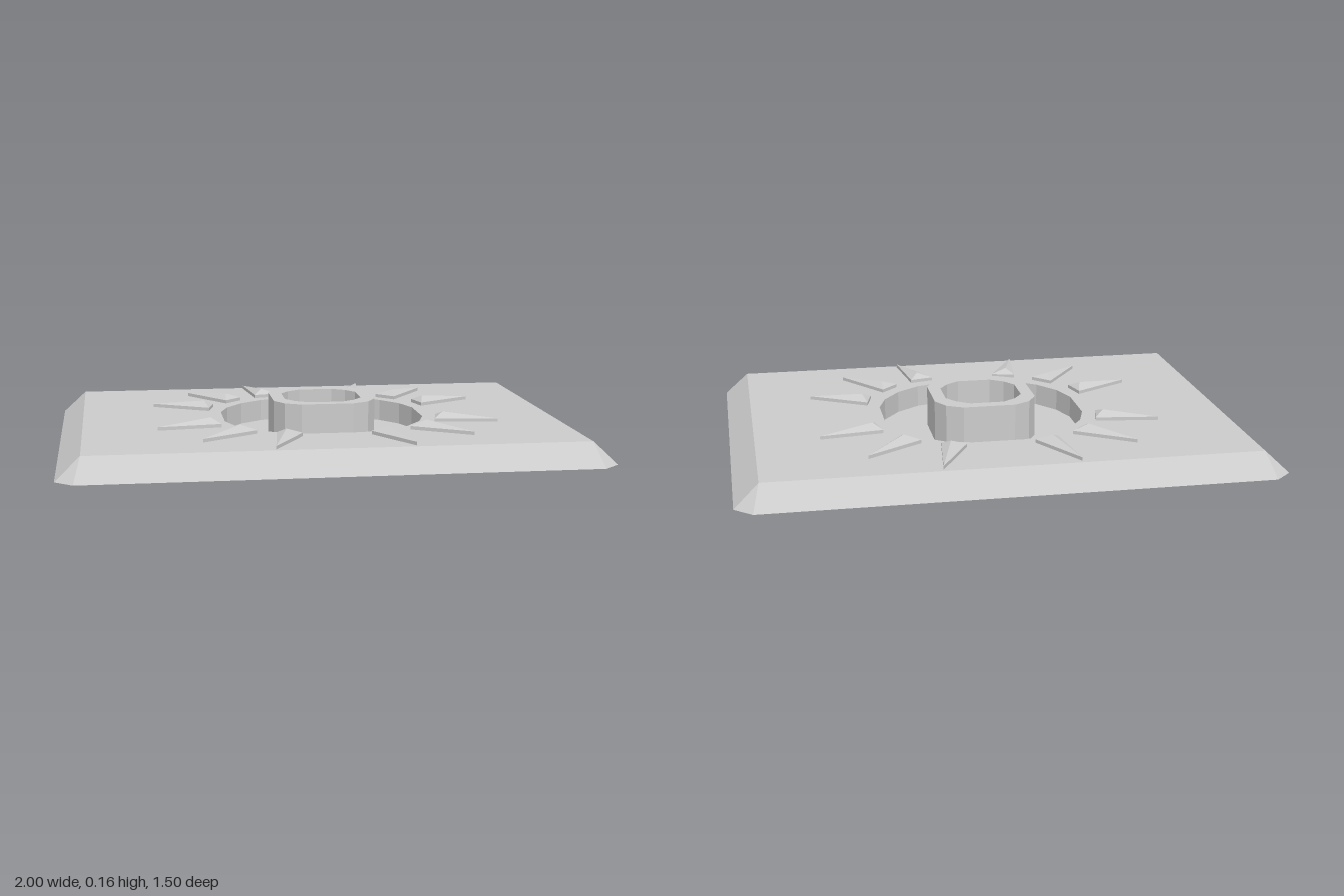
import * as THREE from 'three';

const material = new THREE.MeshStandardMaterial({ color: 0xcccccc, flatShading: true, side: THREE.DoubleSide });
const TOP = 0.085;   // plate surface height
const CX = 0.0185;   // the motif sits slightly off centre

const V = ([x, s]) => new THREE.Vector2(x, s);

// Mirror first-quadrant points (from +x round to +s) into a full anticlockwise loop; z = -s
function mirrorLoop(points, cx = 0) {
  const back = [...points].reverse();
  return [
    ...points,
    ...back.map(([x, s]) => [-x, s]),
    ...points.map(([x, s]) => [-x, -s]),
    ...back.map(([x, s]) => [x, -s]),
  ].map(([x, s]) => V([x + cx, s]));
}

// Strips joining successive [loop, height] rings; rising rings face outward, falling ones inward
function loft(name, rings) {
  const pos = [];
  const tri = (...p) => {
    if (p[0].equals(p[1]) || p[1].equals(p[2]) || p[2].equals(p[0])) return;
    p.forEach((v) => pos.push(v.x, v.y, v.z));
  };
  for (let r = 0; r < rings.length - 1; r++) {
    const [a, b] = [rings[r], rings[r + 1]].map(([loop, y]) => loop.map((p) => new THREE.Vector3(p.x, y, -p.y)));
    for (let i = 0; i < a.length; i++) {
      const j = (i + 1) % a.length;
      tri(a[i], a[j], b[j]);
      tri(a[i], b[j], b[i]);
    }
  }
  const geo = new THREE.BufferGeometry();
  geo.setAttribute('position', new THREE.Float32BufferAttribute(pos, 3));
  geo.computeVertexNormals();
  const mesh = new THREE.Mesh(geo, material);
  mesh.name = name;
  return mesh;
}

// Flat upward-facing sheet with holes
function sheet(name, outline, holes, y) {
  const shape = new THREE.Shape(outline);
  holes.forEach((h) => shape.holes.push(new THREE.Path(h)));
  const geo = new THREE.ShapeGeometry(shape);
  geo.rotateX(-Math.PI / 2).translate(0, y, 0);
  const mesh = new THREE.Mesh(geo, material);
  mesh.name = name;
  return mesh;
}

// The three rays of one quadrant: tip, two inner corners, ridge peak
const RAYS = [
  { tip: [0.65, 0.255], base: [[0.41, 0.222], [0.433, 0.13]], peak: [0.448, 0.187] },
  { tip: [0.497, 0.5], base: [[0.287, 0.362], [0.352, 0.295]], peak: [0.35, 0.347] },
  { tip: [0.25, 0.657], base: [[0.128, 0.433], [0.22, 0.408]], peak: [0.19, 0.448] },
];

export function createModel() {
  const group = new THREE.Group();

  // Outlines
  const foot = mirrorLoop([[1, 0.69], [0.935, 0.75]]);
  const rim = mirrorLoop([[0.91, 0.672], [0.91, 0.672]]);
  const rect = mirrorLoop([[0.91, 0.672]]);
  const recess = mirrorLoop([[0.388, 0.1], [0.355, 0.2], [0.29, 0.29], [0.2, 0.357], [0.1, 0.388]], CX);
  const outer = mirrorLoop([[0.197, 0.1], [0.162, 0.162], [0.1, 0.197]], CX);
  const inner = mirrorLoop([[0.149, 0.065], [0.115, 0.115], [0.065, 0.15]], CX);

  // Rays: a low triangular wall topped by a pyramid
  const rays = new THREE.Group();
  rays.name = 'rays';
  const rayHoles = [];
  for (const sx of [1, -1]) {
    for (const sz of [1, -1]) {
      for (const { tip, base, peak } of RAYS) {
        const place = ([x, s]) => V([x * sx + CX, s * sz]);
        const loop = [tip, ...base].map(place);
        if (THREE.ShapeUtils.isClockWise(loop)) loop.reverse();
        const apex = loop.map(() => place(peak));
        rays.add(loft('ray', [[loop, TOP], [loop, 0.098], [apex, 0.118]]));
        rayHoles.push(loop);
      }
    }
  }

  // Hollow plate with sloping edges and cut corners
  group.add(loft('plateBevel', [[foot, 0], [rim, TOP]]));
  group.add(sheet('plateTop', rect, [recess, ...rayHoles], TOP));
  group.add(rays);

  // Sunken dish around the central ring
  group.add(loft('recessWall', [[recess, TOP], [recess, 0]]));
  group.add(sheet('recessFloor', recess, [outer], 0));

  // Central ring: outer wall, flat lip, inner wall and cup floor
  group.add(loft('centralRing', [[outer, 0], [outer, 0.16], [inner, 0.16], [inner, 0.04]]));
  group.add(sheet('cupFloor', inner, [], 0.04));

  return group;
}
